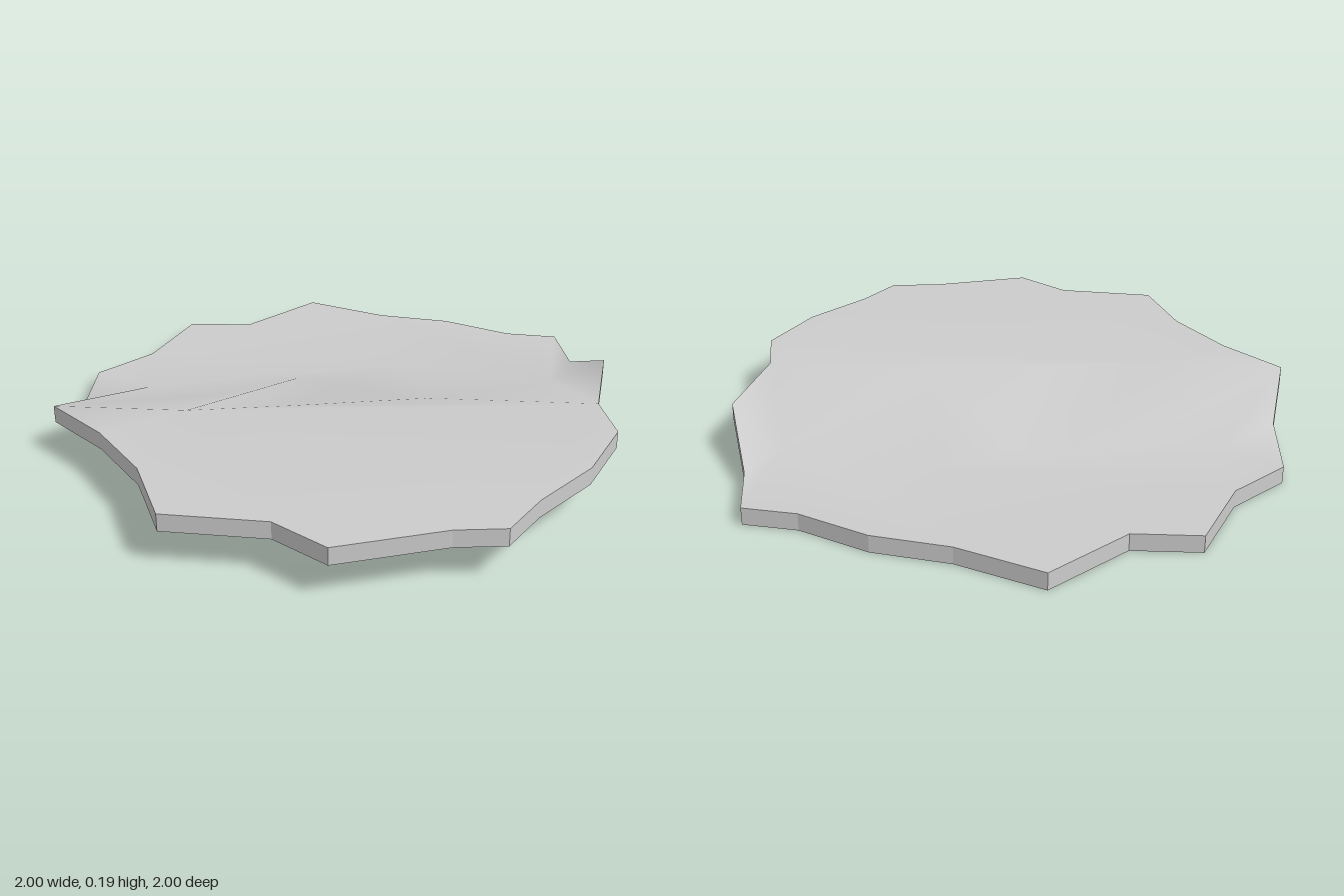
import * as THREE from 'three';

const THICK = 0.06, LOW = 0.06, HIGH = 0.185;

// rim of the raised terrace, from front-left corner round the +x side to the back
const highRim = [[-0.51, 0.89], [-0.25, 0.87], [0.02, 0.9], [0.28, 1], [0.53, 0.77], [0.74, 0.73],
  [0.9, 0.4], [1, 0.27], [0.95, 0.09], [0.92, -0.17], [0.82, -0.41], [0.65, -0.51]];
// rim of the lower terrace, from the back round the -x side to the front
const lowRim = [[0.2, -0.88], [0.01, -1], [-0.13, -0.88], [-0.37, -0.78], [-0.58, -0.62], [-0.86, -0.49],
  [-0.85, -0.16], [-1, 0.01], [-0.87, 0.28], [-0.86, 0.52], [-0.63, 0.73]];
// foot and crest of the slope between the terraces, front to back
const foot = [[-0.63, 0.73], [-0.64, 0.44], [-0.42, 0.28], [-0.35, -0.02], [-0.2, -0.1], [-0.19, -0.37],
  [0.27, -0.7], [0.2, -0.88]];
const crest = [[-0.51, 0.89], [-0.2, 0.57], [0, 0.28], [0.25, -0.1], [0.65, -0.51], [0.44, -0.78]];
// order in which the slope is stitched: f = step along foot, c = step along crest
const stitch = 'ffcffccffccf';

function createSlab() {
  const points = [], lookup = new Map();
  const vertex = ([x, z], y) => {
    const key = x + ',' + z;
    if (!lookup.has(key)) {
      lookup.set(key, points.length);
      points.push([x, y, z]);
    }
    return lookup.get(key);
  };
  const faces = [];
  // every surface triangle is wound to face up
  const addFace = (a, b, c) => {
    const [p, q, r] = [points[a], points[b], points[c]];
    const up = (q[2] - p[2]) * (r[0] - p[0]) - (q[0] - p[0]) * (r[2] - p[2]);
    faces.push(up > 0 ? [a, b, c] : [a, c, b]);
  };

  // flat terraces
  const addTerrace = (outline, y) => {
    const ids = outline.map((p) => vertex(p, y));
    const contour = outline.map(([x, z]) => new THREE.Vector2(x, z));
    THREE.ShapeUtils.triangulateShape(contour, []).forEach((t) => addFace(...t.map((i) => ids[i])));
  };
  addTerrace([...lowRim, ...foot.slice(1, -1)], LOW);
  addTerrace([...highRim, ...crest.slice(1, 4).reverse()], HIGH);

  // slope between foot and crest
  let f = 0, c = 0;
  for (const step of stitch) {
    const a = vertex(foot[f], LOW), b = vertex(crest[c], HIGH);
    const next = step === 'f' ? vertex(foot[++f], LOW) : vertex(crest[++c], HIGH);
    addFace(a, b, next);
  }

  const build = (pos, index) => {
    const g = new THREE.BufferGeometry();
    g.setAttribute('position', new THREE.Float32BufferAttribute(pos.flat(), 3));
    if (index) g.setIndex(index.flat());
    g.computeVertexNormals();
    return g;
  };
  const lower = ([x, y, z]) => [x, y - THICK, z];
  const top = build(points, faces);
  const bottom = build(points.map(lower), faces.map(([a, b, d]) => [a, d, b]));

  // upright edge band with one flat panel per rim segment
  const rim = [...highRim.map((p) => vertex(p, HIGH)), vertex(crest[5], HIGH), ...lowRim.map((p) => vertex(p, LOW))];
  const band = [];
  rim.forEach((id, i) => {
    const a = points[id], b = points[rim[(i + 1) % rim.length]];
    band.push(a, lower(a), lower(b), a, lower(b), b);
  });
  return { top, bottom, edge: build(band) };
}

export function createModel() {
  const group = new THREE.Group();
  group.name = 'steppedGroundSlab';
  const material = new THREE.MeshStandardMaterial({ color: 0xcccccc });
  const parts = createSlab();
  for (const [name, geometry] of Object.entries(parts)) {
    const mesh = new THREE.Mesh(geometry, material);
    mesh.name = name + 'Surface';
    group.add(mesh);
  }
  return group;
}
